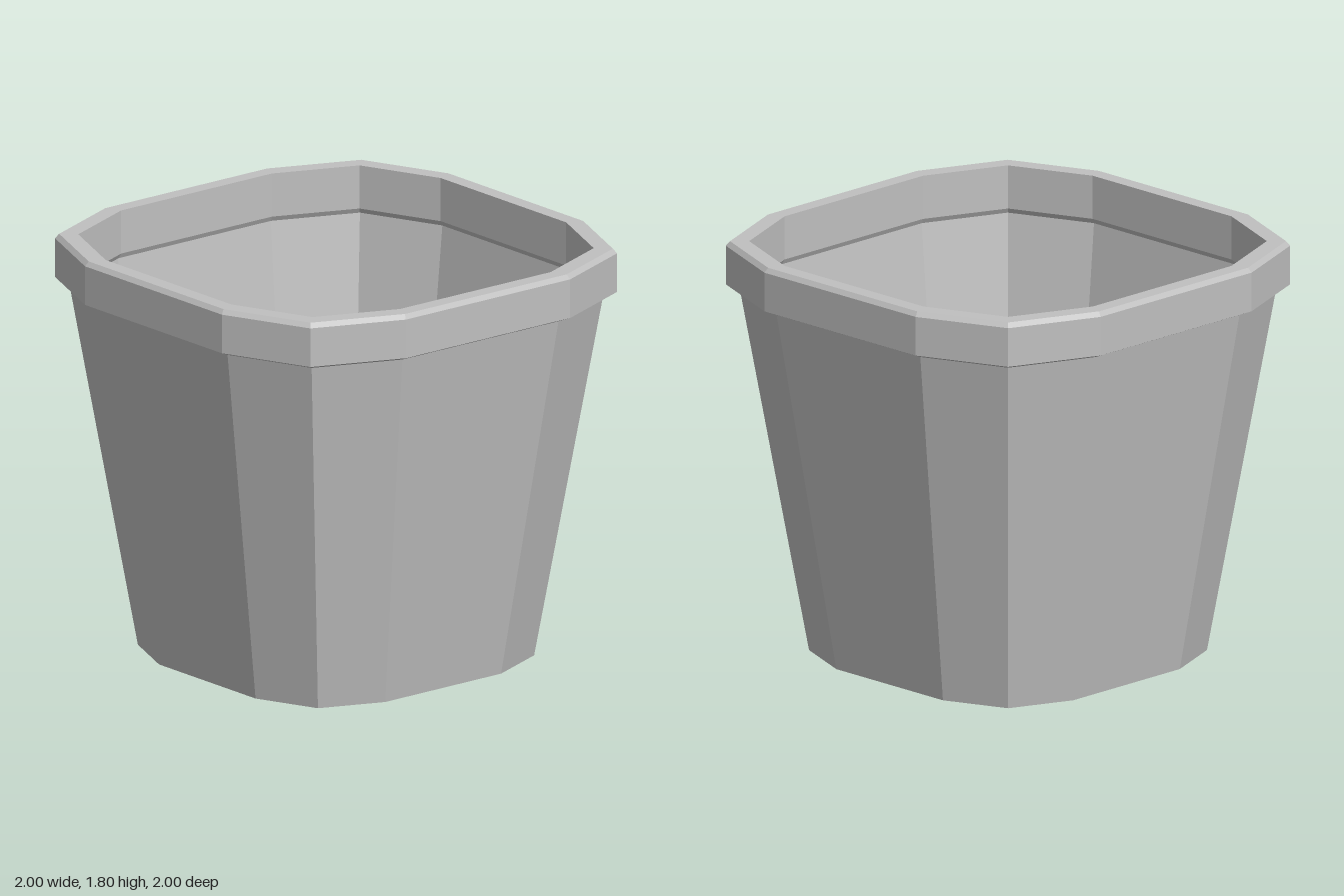
import * as THREE from 'three';

// Twelve-sided rounded-square outline of half-width 1, built by quarter turns
function makeOutline() {
  const points = [];
  let quarter = [[1, 0.45], [0.84, 0.84], [0.45, 1]];
  for (let q = 0; q < 4; q++) {
    points.push(...quarter);
    quarter = quarter.map(([x, z]) => [-z, x]);
  }
  return points;
}

const OUTLINE = makeOutline();

// Sweep a closed [half-width, height] profile around the outline, flat faceted
function sweepProfile(profile) {
  const positions = [];
  const at = ([r, y], [x, z]) => [r * x, y, r * z];
  profile.forEach((low, i) => {
    const high = profile[(i + 1) % profile.length];
    OUTLINE.forEach((p, k) => {
      const q = OUTLINE[(k + 1) % OUTLINE.length];
      const a = at(low, p), b = at(low, q), c = at(high, q), d = at(high, p);
      positions.push(...a, ...d, ...b, ...b, ...d, ...c);
    });
  });
  const geometry = new THREE.BufferGeometry();
  geometry.setAttribute('position', new THREE.Float32BufferAttribute(positions, 3));
  geometry.computeVertexNormals();
  return geometry;
}

export function createModel() {
  const pot = new THREE.Group();
  pot.name = 'plantPot';
  const grey = new THREE.MeshStandardMaterial({
    name: 'pale grey', color: 0xc0c0c0, flatShading: true, side: THREE.DoubleSide,
  });
  const add = (name, geometry) => {
    const mesh = new THREE.Mesh(geometry, grey);
    mesh.name = name;
    pot.add(mesh);
    return mesh;
  };

  // Thin tapered wall, its top tucked into the rim
  add('wall', sweepProfile([[0.705, 0], [0.955, 1.62], [0.937, 1.62], [0.688, 0]]));

  // Thick rim with chamfered edges
  add('rim', sweepProfile([
    [0.95, 1.588], [1, 1.61], [1, 1.78], [0.985, 1.8],
    [0.917, 1.8], [0.917, 1.61], [0.928, 1.588],
  ]));

  // Floor raised slightly above the foot of the wall
  const shape = new THREE.Shape(OUTLINE.map(([x, z]) => new THREE.Vector2(x * 0.698, z * 0.698)));
  const floor = add('floor', new THREE.ShapeGeometry(shape).rotateX(-Math.PI / 2));
  floor.position.y = 0.06;

  return pot;
}
